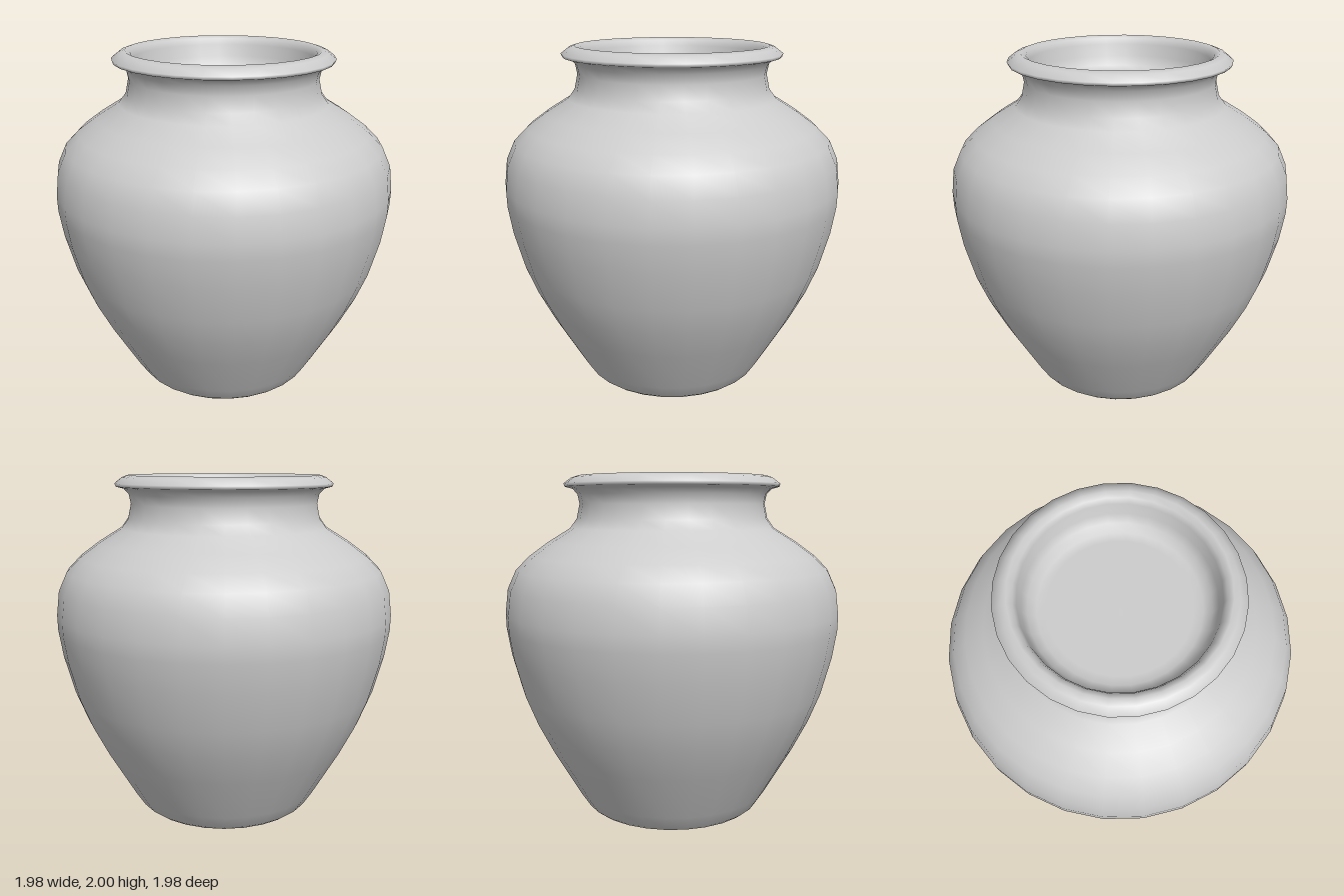
import * as THREE from 'three';

const SEGMENTS = 28;

// Profiles run as [radius, height] from the foot upward, over the rim and down inside.
const foot = [[0, 0], [0.46, 0], [0.51, 0.005], [0.535, 0.025]];
const belly = [
  [0.59, 0.11], [0.75, 0.39], [0.84, 0.57], [0.907, 0.74], [0.965, 0.96],
  [0.99, 1.12], [0.992, 1.21], [0.975, 1.35], [0.925, 1.46], [0.845, 1.54],
];
const neck = [
  [0.735, 1.62], [0.605, 1.7], [0.565, 1.755], [0.547, 1.84], [0.558, 1.895], [0.585, 1.925],
];
const rim = [[0.63, 1.937], [0.638, 1.955], [0.595, 1.988], [0.56, 2], [0.53, 1.985]];
const well = [[0.515, 1.95], [0.5, 1.88], [0.475, 1.825], [0.43, 1.8], [0.38, 1.797], [0, 1.797]];

export function createModel() {
  const group = new THREE.Group();
  group.name = 'jar';

  // One continuous smooth turning, so the shading flows from foot to well
  const profile = [...foot, ...belly, ...neck, ...rim, ...well]
    .map(([r, y]) => new THREE.Vector2(r, y));
  const vessel = new THREE.Mesh(
    new THREE.LatheGeometry(profile, SEGMENTS),
    new THREE.MeshStandardMaterial({ color: 0xcccccc }),
  );
  vessel.name = 'vessel';
  group.add(vessel);

  return group;
}
